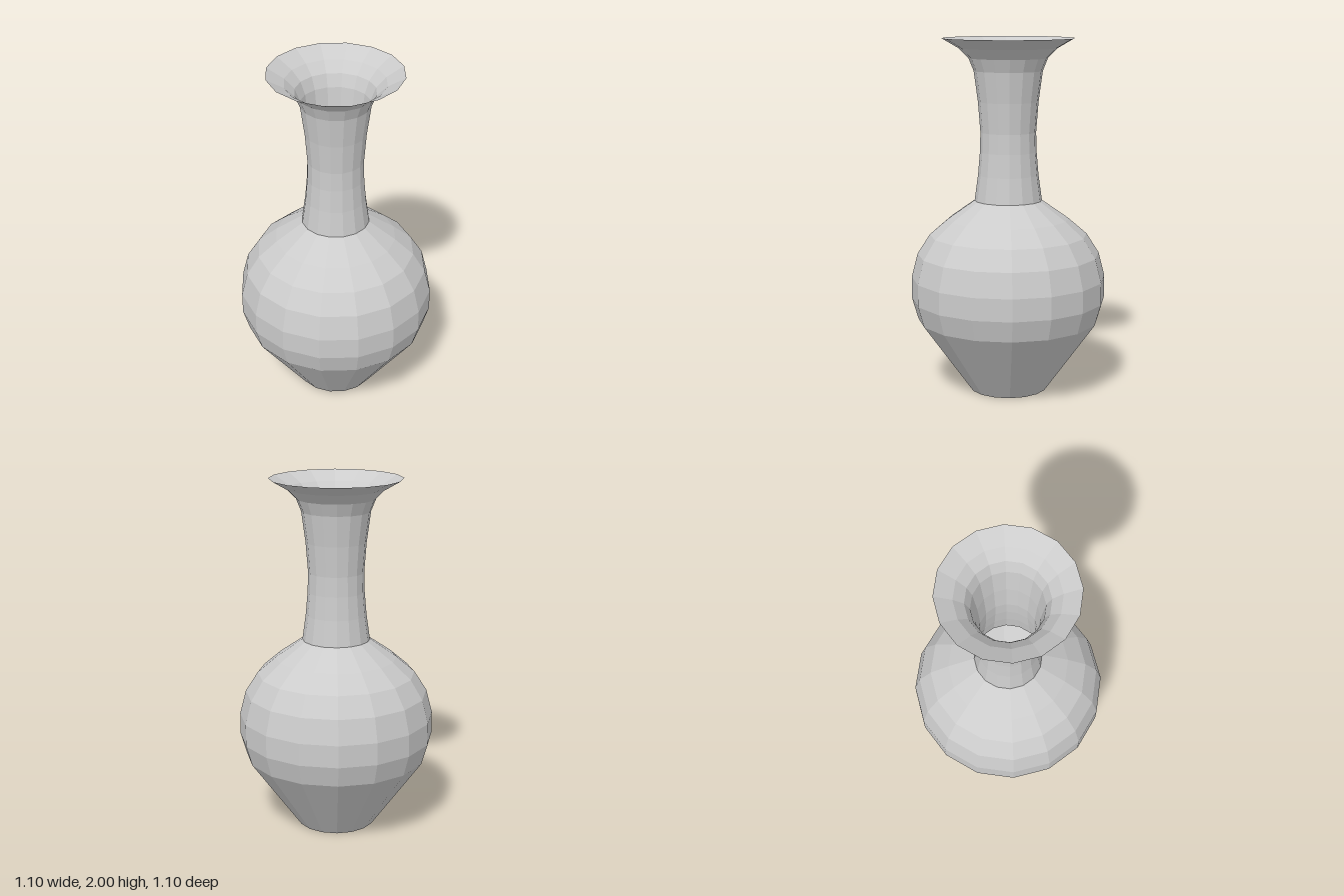
import * as THREE from 'three';

const SIDES = 16;

export function createModel() {
  const vase = new THREE.Group();
  vase.name = 'vase';
  const material = new THREE.MeshStandardMaterial({
    color: 0xcccccc, flatShading: true, side: THREE.DoubleSide,
  });

  // Revolves a [radius, height] profile around the vertical axis
  const addLathe = (name, profile) => {
    const points = profile.map(([r, y]) => new THREE.Vector2(r, y));
    const mesh = new THREE.Mesh(new THREE.LatheGeometry(points, SIDES), material);
    mesh.name = name;
    vase.add(mesh);
  };

  // Tapered foot and round belly
  addLathe('body', [
    [0.22, 0], [0.515, 0.41], [0.55, 0.53], [0.55, 0.655],
    [0.515, 0.79], [0.445, 0.9], [0.34, 0.99], [0.19, 1.095],
  ]);

  // Slim waisted neck
  addLathe('neck', [
    [0.19, 1.095], [0.17, 1.24], [0.159, 1.37], [0.156, 1.48],
    [0.169, 1.65], [0.192, 1.82],
  ]);

  // Flared lip
  addLathe('lip', [[0.192, 1.82], [0.22, 1.89], [0.275, 1.945], [0.37, 2]]);

  // Flat floor closing the foot, its corners matching the body
  const base = new THREE.Mesh(new THREE.CircleGeometry(0.22, SIDES), material);
  base.name = 'base';
  base.rotation.x = Math.PI / 2;
  vase.add(base);

  return vase;
}
